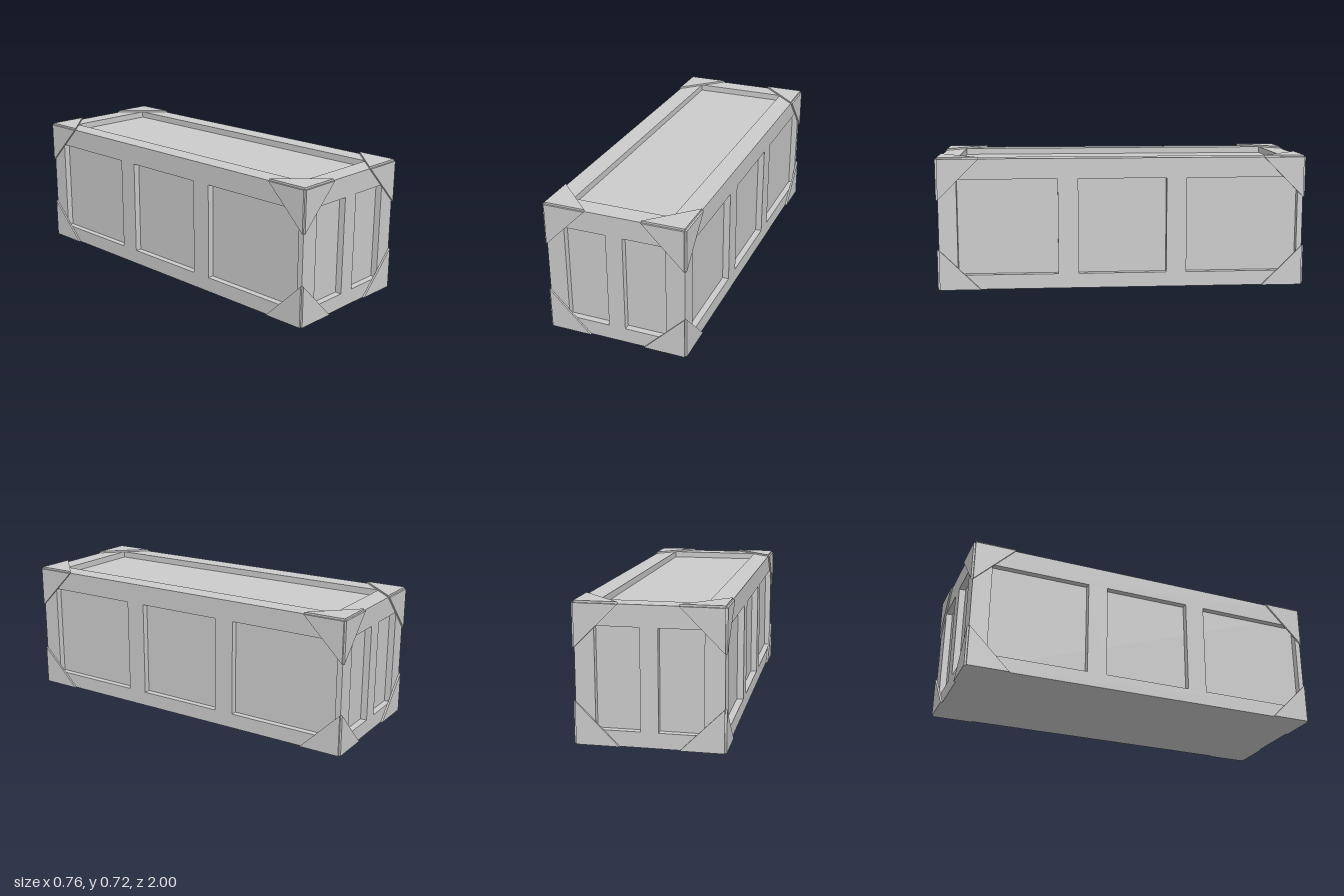
import * as THREE from 'three';

const W = 0.37, H = 0.71, L = 0.99; // half width, height, half length of the crate
const DEPTH = 0.035;                // how far the panels are set in
const LEG = 0.22, PLATE = 0.01;     // corner plate leg and thickness

const material = new THREE.MeshStandardMaterial({ color: 0xcccccc, flatShading: true });

function polygon(points) {
  return new THREE.Shape(points.map(([x, y]) => new THREE.Vector2(x, y)));
}

function rectangle(x0, x1, y0, y1) {
  return polygon([[x0, y0], [x1, y0], [x1, y1], [x0, y1]]);
}

function slab(name, shape, depth, z) {
  const geometry = new THREE.ExtrudeGeometry(shape, { depth, bevelEnabled: false });
  geometry.translate(0, 0, z);
  const mesh = new THREE.Mesh(geometry, material);
  mesh.name = name;
  return mesh;
}

// One face of the crate, lying in its own xy plane with the outside at z = 0:
// a frame with openings and a triangular plate on each corner.
function crateFace(name, frame, openings, halfSpan, y0, y1) {
  const group = new THREE.Group();
  group.name = name;
  const outline = rectangle(...frame);
  for (const o of openings) outline.holes.push(rectangle(...o));
  group.add(slab('panelFrame', outline, DEPTH, -DEPTH));
  for (const sx of [-1, 1]) {
    for (const [y, sy] of [[y0, 1], [y1, -1]]) {
      const x = sx * halfSpan;
      const triangle = polygon([[x, y], [x - sx * LEG, y], [x, y + sy * LEG]]);
      group.add(slab('cornerPlate', triangle, PLATE, 0));
    }
  }
  return group;
}

export function createModel() {
  const model = new THREE.Group();
  model.name = 'crate';

  // Inner box, whose surface forms the recessed panels
  const core = new THREE.Mesh(
    new THREE.BoxGeometry(2 * (W - DEPTH), H - DEPTH, 2 * (L - DEPTH)), material);
  core.position.y = (H - DEPTH) / 2;
  core.name = 'innerBox';
  model.add(core);

  // Ends and long sides, each pair turned half a circle apart
  for (const turn of [0, Math.PI]) {
    const end = crateFace(turn ? 'backEnd' : 'frontEnd',
      [-W + DEPTH, W - DEPTH, 0, H],
      [[-0.27, -0.045, 0.08, 0.6], [0.045, 0.27, 0.08, 0.6]], W, 0, H);
    end.rotation.y = turn;
    end.position.z = turn ? -L : L;
    model.add(end);

    const side = crateFace(turn ? 'rightSide' : 'leftSide',
      [-L, L, 0, H],
      [[-0.89, -0.35, 0.08, 0.6], [-0.24, 0.24, 0.08, 0.6], [0.35, 0.96, 0.08, 0.6]], L, 0, H);
    side.rotation.y = Math.PI / 2 + turn;
    side.position.x = turn ? -W : W;
    model.add(side);
  }

  // Lid with one long sunken panel
  const lid = crateFace('lid',
    [-W + DEPTH, W - DEPTH, -L + DEPTH, L - DEPTH],
    [[-0.265, 0.265, -0.885, 0.885]], W, -L, L);
  lid.rotation.x = -Math.PI / 2;
  lid.position.y = H;
  model.add(lid);

  return model;
}
